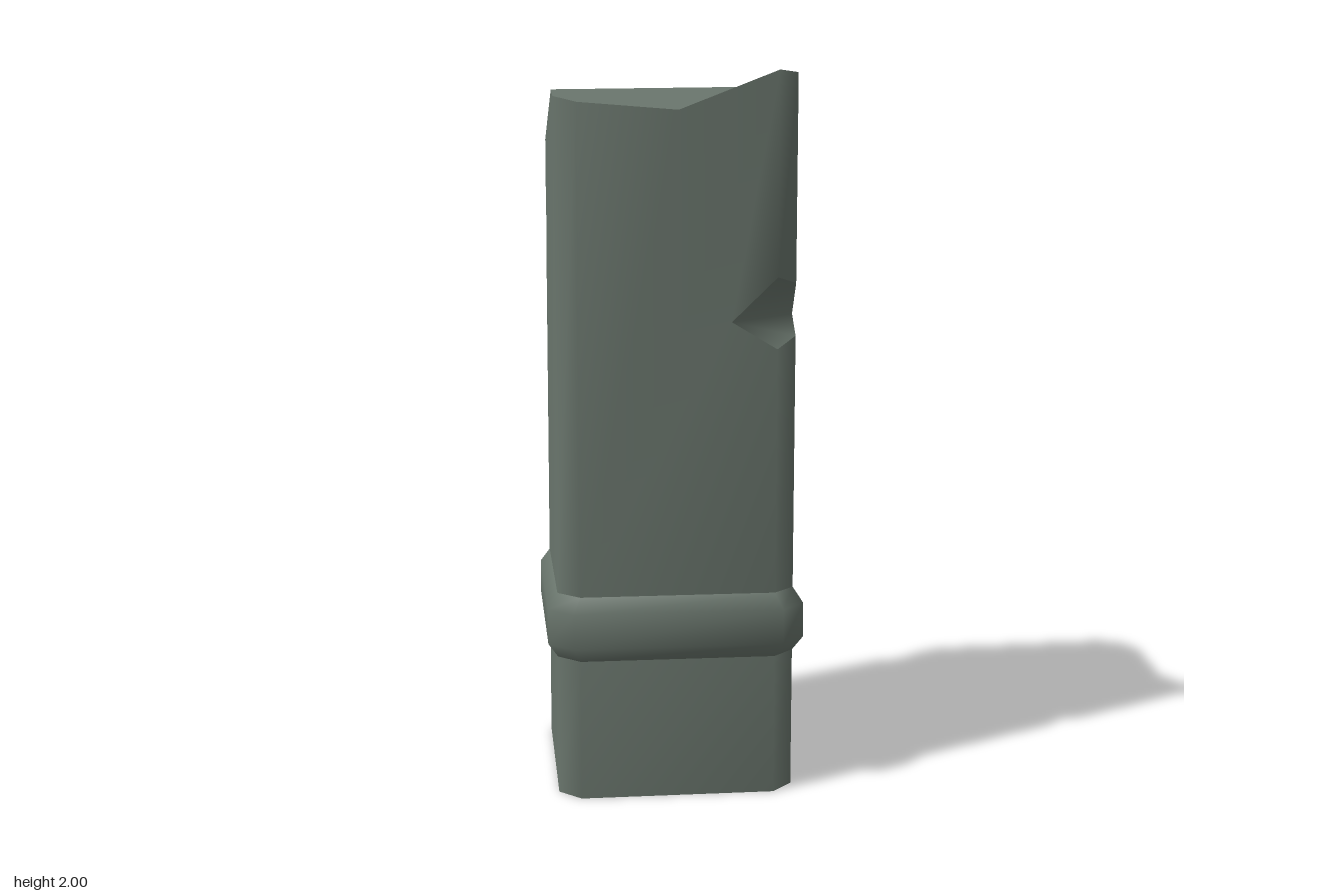
import * as THREE from 'three';
import { mergeVertices } from 'three/addons/utils/BufferGeometryUtils.js';

const stone = new THREE.MeshStandardMaterial({ color: 0x6b776e, side: THREE.DoubleSide });
stone.name = 'greyGreenStone';

// Chamfered square, counterclockwise seen from above: [x, z]
const ring = (h, c) => {
  const k = h - c;
  return [[-k, h], [k, h], [h, k], [h, -k], [k, -h], [-k, -h], [-h, -k], [-h, k]];
};
const HALF = 0.33, CHAMFER = 0.06;
const P = ring(HALF, CHAMFER);

// Broken top: three planes meeting at a ridge and a valley
const backPlane = (x, z) => 1.95 + 0.187 * (x + 0.33) + 0.3 * (z - 0.17);
const middlePlane = (x, z) => 1.95 - 0.074 * (x + 0.33) - 0.2 * (z - 0.17);
const frontPlane = (x, z) => 1.893 + 0.392 * x + 0.465 * (z - 0.33);
const topAt = ([x, z]) =>
  [x, Math.max(frontPlane(x, z), Math.min(backPlane(x, z), middlePlane(x, z))), z];
const ridgeL = [-0.33, 0.17], ridgeR = [0.33, -0.175];
const valleyF = [0, 0.33], valleyR = [0.33, 0.1];

// Mesh from triangles given as [a, b, c] corner triples
function triMesh(name, tris, smooth) {
  let geo = new THREE.BufferGeometry();
  geo.setAttribute('position', new THREE.Float32BufferAttribute(tris.flat(2), 3));
  if (smooth) geo = mergeVertices(geo, 1e-4);
  geo.computeVertexNormals();
  const mesh = new THREE.Mesh(geo, stone);
  mesh.name = name;
  return mesh;
}

const fan = (pts) => pts.slice(2).map((p, i) => [pts[0], pts[i + 1], p]);

// Skin between chamfered squares given as [y, half width, chamfer]
function loft(levels) {
  const rings = levels.map(([y, h, c]) => ring(h, c).map(([x, z]) => [x, y, z]));
  const tris = [];
  for (let r = 0; r + 1 < rings.length; r++) {
    for (let i = 0; i < 8; i++) {
      const j = (i + 1) % 8;
      tris.push(...fan([rings[r][i], rings[r][j], rings[r + 1][j], rings[r + 1][i]]));
    }
  }
  return tris;
}

// Upright wall polygon, triangulated in its own plane
function wall(pts) {
  const [a, b] = pts;
  const w = Math.hypot(b[0] - a[0], b[2] - a[2]);
  const flat = pts.map((p) => new THREE.Vector2(
    ((p[0] - a[0]) * (b[0] - a[0]) + (p[2] - a[2]) * (b[2] - a[2])) / w, p[1]));
  return THREE.ShapeUtils.triangulateShape(flat, []).map((f) => f.map((i) => pts[i]));
}

// Corner chips, keyed by the chamfer they cut: A and D are the side tips
const chips = {
  1: {
    A: [0.145, 1.33, 0.33], B: [0.27, 1.45, 0.33], C: [0.33, 1.43, 0.27],
    D: [0.33, 1.34, 0.21], E: [0.33, 1.285, 0.27], F: [0.27, 1.255, 0.33],
  },
  5: {
    A: [-0.15, 1.575, -0.33], B: [-0.27, 1.735, -0.33], C: [-0.33, 1.65, -0.27],
    D: [-0.33, 1.58, -0.25], E: [-0.33, 1.53, -0.27], F: [-0.27, 1.455, -0.33],
  },
};

// Walls above the band, with the chips cut out
function shaftWalls(y0) {
  const folds = { 0: [valleyF], 2: [ridgeR, valleyR], 6: [ridgeL] };
  const tris = [];
  for (let i = 0; i < 8; i++) {
    const p = P[i], q = P[(i + 1) % 8];
    const a = [p[0], y0, p[1]], b = [q[0], y0, q[1]];
    const top = [topAt(q), ...(folds[i] || []).map(topAt), topAt(p)];
    const cut = chips[i], right = chips[i + 1], left = chips[i - 1];
    if (cut) {
      tris.push(...fan([a, b, cut.E, cut.F]), ...fan([cut.B, cut.C, ...top]));
    } else {
      tris.push(...wall([
        a, b,
        ...(right ? [right.F, right.A, right.B] : []),
        ...top,
        ...(left ? [left.C, left.D, left.E] : []),
      ]));
    }
  }
  return tris;
}

export function createModel() {
  const group = new THREE.Group();
  group.name = 'brokenPillar';
  const low = 0.395, high = 0.577;

  group.add(triMesh('pillarBase', loft([[0, HALF, CHAMFER], [low, HALF, CHAMFER]]), true));

  // Raised band around the pillar
  group.add(triMesh('band', loft([
    [low, HALF, CHAMFER], [0.437, 0.357, 0.067],
    [0.535, 0.357, 0.067], [high, HALF, CHAMFER],
  ]), true));

  group.add(triMesh('pillarShaft', shaftWalls(high), true));

  for (const [key, name] of [[1, 'frontChip'], [5, 'backChip']]) {
    const { A, B, C, D, E, F } = chips[key];
    group.add(triMesh(name, [...fan([A, D, C, B]), ...fan([A, F, E, D])], true));
  }

  // Faces of the broken top
  group.add(triMesh('brokenTop', [
    [ridgeR, P[3], P[4], P[5], P[6], ridgeL],
    [ridgeL, P[7], P[0], valleyF, valleyR, ridgeR],
    [valleyF, P[1], P[2], valleyR],
  ].flatMap((poly) => fan(poly.map(topAt))), false));

  return group;
}
